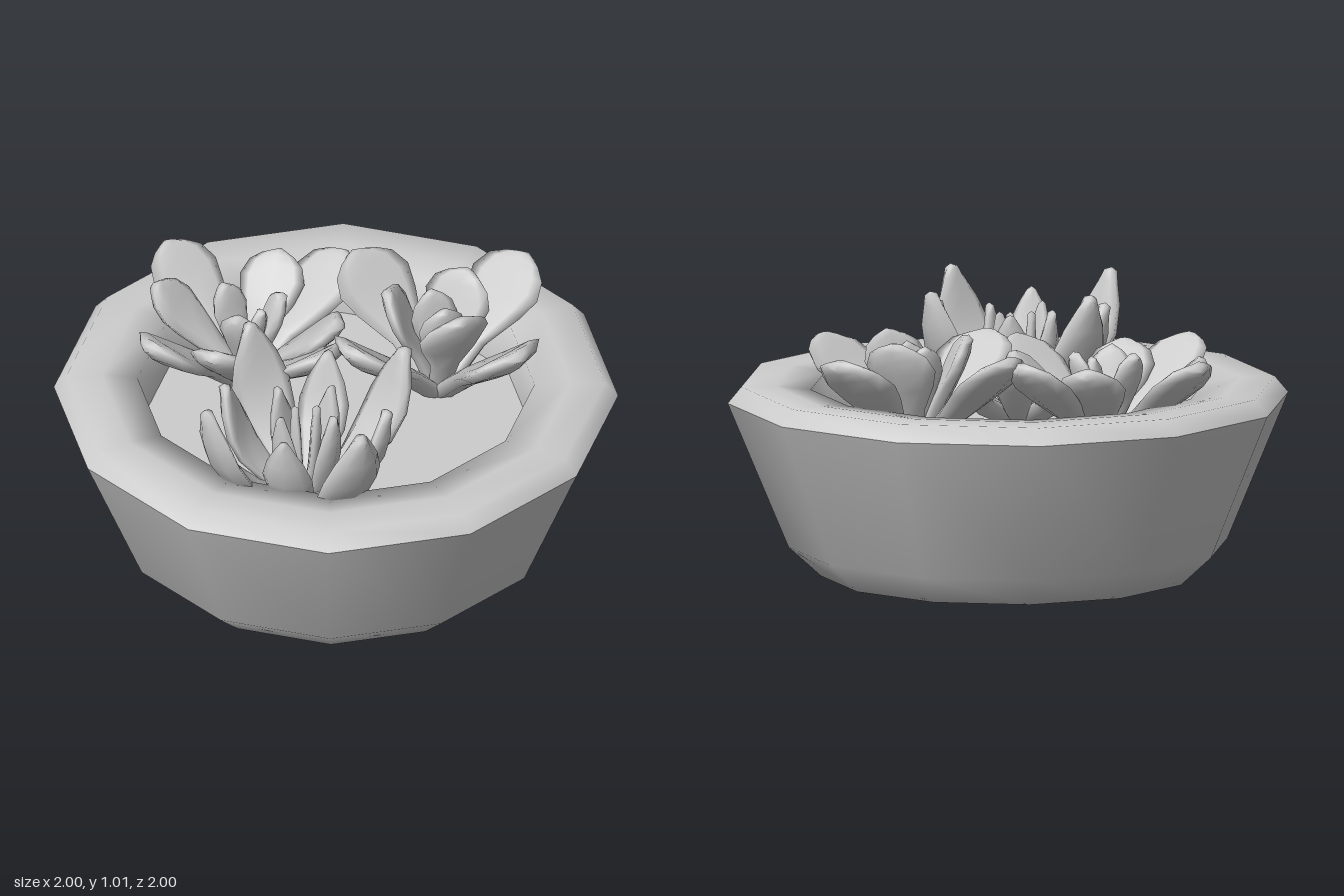
import * as THREE from 'three';

const SOIL = 0.5;

// Fleshy leaf: a cupped oval section swept along a curve in the y/z plane, from the root out to r and up to h.
function leafGeometry(r, h, width, thick, style) {
  const path = new THREE.CatmullRomCurve3(
    style.path.map(([a, b]) => new THREE.Vector3(0, SOIL - 0.02 + b * (h - SOIL + 0.02), a * r)));
  const n = 8, pos = [], index = [];
  style.width.forEach(([t, w], i) => {
    const p = path.getPoint(t), d = path.getTangent(t);
    const half = w * width / 2, th = thick / 2 * (t > 0.9 ? 0.75 : 1);
    for (let j = 0; j < n; j++) {
      const u = Math.cos(j / n * Math.PI * 2), v = Math.sin(j / n * Math.PI * 2);
      const lift = v * th + style.cup * u * u * half;
      pos.push(u * half, p.y + d.z * lift, p.z - d.y * lift);
      if (i > 0) {
        const a = (i - 1) * n + j, b = (i - 1) * n + (j + 1) % n;
        index.push(a, b, b + n, a, b + n, a + n);
      }
    }
  });
  // Pointed tip
  const last = pos.length / 3 - n, end = path.getPoint(1), dir = path.getTangent(1);
  pos.push(0, end.y + dir.y * 0.012, end.z + dir.z * 0.012);
  for (let j = 0; j < n; j++) index.push(last + j, last + (j + 1) % n, last + n);
  const geo = new THREE.BufferGeometry();
  geo.setAttribute('position', new THREE.Float32BufferAttribute(pos, 3));
  geo.setIndex(index);
  geo.computeVertexNormals();
  return geo;
}

// Leaf styles: spine shape (outward, upward) and width along the leaf
const upright = {
  path: [[0, 0], [0.55, 0.22], [0.87, 0.56], [1, 1]],
  width: [[0, 0.3], [0.25, 0.55], [0.5, 0.95], [0.68, 1], [0.83, 0.75], [0.94, 0.4], [1, 0.18]],
  cup: 0.25,
};
const spoon = {
  path: [[0, 0], [0.42, 0.45], [0.75, 0.72], [1, 1]],
  width: [[0, 0.25], [0.3, 0.45], [0.55, 0.85], [0.73, 1], [0.88, 0.82], [0.96, 0.5], [1, 0.22]],
  cup: 0.18,
};

export function createModel() {
  const model = new THREE.Group();
  model.name = 'succulentBowl';
  const stone = new THREE.MeshStandardMaterial({ color: 0xcccccc });
  stone.name = 'paleGrey';

  const add = (parent, name, geometry) => {
    const mesh = new THREE.Mesh(geometry, stone);
    mesh.name = name;
    parent.add(mesh);
    return mesh;
  };
  // Twelve-sided turned parts with flat sides facing the axes
  const turned = (points) => new THREE.LatheGeometry(
    points.map(([r, y]) => new THREE.Vector2(r, y)), 12, Math.PI / 12);

  add(model, 'bowlWall', turned([[0, 0], [0.69, 0], [0.81, 0.11], [1.035, 0.65]]));
  add(model, 'bowlRim', turned([[1.035, 0.65], [0.985, 0.71], [0.86, 0.71], [0.728, 0.695], [0.715, SOIL - 0.02]]));
  add(model, 'soil', turned([[0.725, SOIL], [0, SOIL]]));

  const addPlant = (name, x, z) => {
    const plant = new THREE.Group();
    plant.name = name;
    plant.position.set(x, 0, z);
    model.add(plant);
    return plant;
  };
  // A ring of equal leaves, the first one turned by start degrees
  const addRing = (plant, name, style, count, start, r, h, width, thick) => {
    const geometry = leafGeometry(r, h, width, thick, style);
    for (let i = 0; i < count; i++) {
      add(plant, name, geometry).rotation.y = THREE.MathUtils.degToRad(start + i * 360 / count);
    }
  };

  const tall = addPlant('uprightSucculent', -0.38, 0.24);
  addRing(tall, 'outerLeaf', upright, 4, 76, 0.42, 1.0, 0.24, 0.07);
  addRing(tall, 'middleLeaf', upright, 4, 31, 0.31, 0.92, 0.19, 0.06);
  addRing(tall, 'innerLeaf', upright, 4, 4, 0.14, 0.9, 0.13, 0.05);
  addRing(tall, 'heartLeaf', upright, 2, 50, 0.04, 0.88, 0.08, 0.04);

  const spreading = addPlant('spreadingSucculent', -0.04, -0.43);
  addRing(spreading, 'outerLeaf', spoon, 4, -4, 0.47, 0.86, 0.29, 0.07);
  addRing(spreading, 'middleLeaf', spoon, 4, 27, 0.36, 0.84, 0.25, 0.07);
  addRing(spreading, 'innerLeaf', spoon, 3, 60, 0.13, 0.86, 0.16, 0.06);
  addRing(spreading, 'heartLeaf', spoon, 1, 15, 0.06, 0.83, 0.1, 0.05);

  const broad = addPlant('broadSucculent', 0.43, 0.09);
  addRing(broad, 'outerLeaf', spoon, 4, 0, 0.45, 0.88, 0.34, 0.07);
  addRing(broad, 'innerLeaf', spoon, 3, -17, 0.19, 0.92, 0.28, 0.06);
  addRing(broad, 'heartLeaf', spoon, 2, 157, 0.07, 0.89, 0.18, 0.05);
  return model;
}
